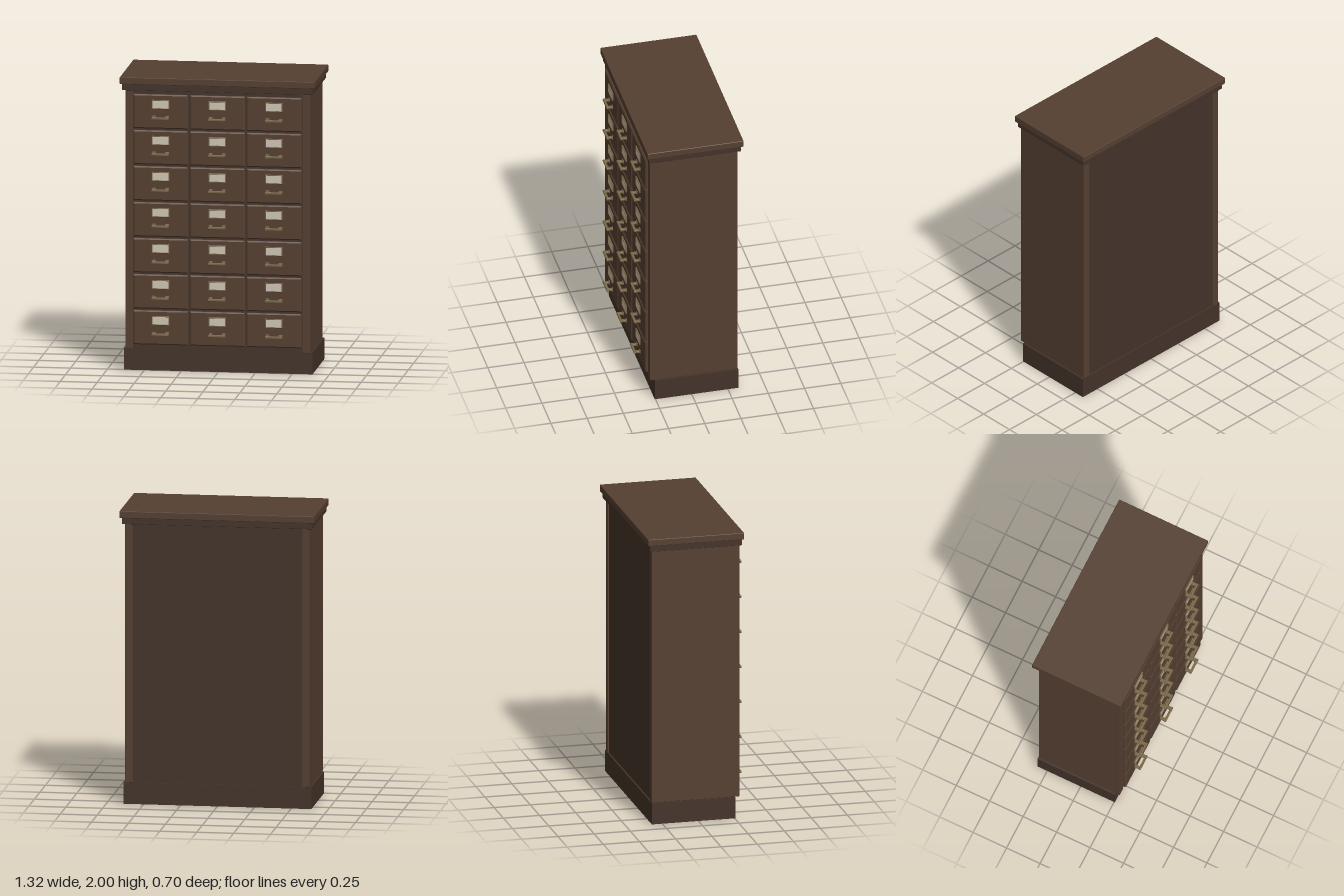
import * as THREE from 'three';
import { RoundedBoxGeometry } from 'three/addons/geometries/RoundedBoxGeometry.js';

const material = (color) => new THREE.MeshStandardMaterial({ color });
const wood = material(0x553f31);
const darkWood = material(0x443329);
const brass = material(0x7a6848);
const paper = material(0xcfc7b6);

// Box given by its minimum and maximum corners, with softened edges if r > 0
function box(name, mat, [x0, y0, z0], [x1, y1, z1], r = 0) {
  const size = [x1 - x0, y1 - y0, z1 - z0];
  const geo = r ? new RoundedBoxGeometry(...size, 1, r) : new THREE.BoxGeometry(...size);
  const mesh = new THREE.Mesh(geo, mat);
  mesh.name = name;
  mesh.position.set((x0 + x1) / 2, (y0 + y1) / 2, (z0 + z1) / 2);
  return mesh;
}

function rectangle(path, w, h) {
  path.moveTo(-w / 2, -h / 2);
  path.lineTo(w / 2, -h / 2);
  path.lineTo(w / 2, h / 2);
  path.lineTo(-w / 2, h / 2);
  path.closePath();
  return path;
}

// Bevelled drawer front, outer size w x h, back at z = 0
function drawerFrontGeometry(w, h) {
  const b = 0.008;
  const geo = new THREE.ExtrudeGeometry(rectangle(new THREE.Shape(), w - 2 * b, h - 2 * b), {
    depth: 0.014, bevelEnabled: true, bevelSize: b, bevelThickness: 0.007, bevelSegments: 1,
  });
  return geo.translate(0, 0, 0.007);
}

// Thin bevelled frame round the label
function labelFrameGeometry() {
  const shape = rectangle(new THREE.Shape(), 0.114, 0.058);
  shape.holes.push(rectangle(new THREE.Path(), 0.11, 0.054));
  return new THREE.ExtrudeGeometry(shape, {
    depth: 0.008, bevelEnabled: true, bevelSize: 0.002, bevelThickness: 0.002, bevelSegments: 1,
  });
}

function createDrawer(frontGeo, frameGeo) {
  const drawer = new THREE.Group();
  drawer.name = 'drawer';
  const front = new THREE.Mesh(frontGeo, wood);
  front.name = 'drawerFront';
  const frame = new THREE.Mesh(frameGeo, brass);
  frame.name = 'labelFrame';
  frame.position.set(0, 0.05, 0.027);
  drawer.add(front, frame);
  drawer.add(box('label', paper, [-0.056, 0.022, 0.026], [0.056, 0.078, 0.032]));

  // Bar pull on two posts
  const pull = new THREE.Group();
  pull.name = 'pull';
  pull.position.y = -0.04;
  for (const s of [-1, 1]) {
    const foot = box('pullFoot', brass, [-0.013, -0.013, 0.026], [0.013, 0.013, 0.034], 0.003);
    const post = box('pullPost', brass, [-0.011, -0.006, 0.03], [0.011, 0.006, 0.062], 0.002);
    foot.position.x = post.position.x = s * 0.044;
    pull.add(foot, post);
  }
  pull.add(box('pullBar', brass, [-0.057, -0.008, 0.057], [0.057, 0.008, 0.073], 0.004));
  drawer.add(pull);
  return drawer;
}

export function createModel() {
  const model = new THREE.Group();
  model.name = 'drawerCabinet';

  // Plinth, set back under the front
  model.add(box('plinth', darkWood, [-0.637, 0, -0.322], [0.637, 0.147, 0.255]));

  // Carcass with a recessed back and front frame, and full-depth sides
  model.add(box('carcass', darkWood, [-0.575, 0.147, -0.31], [0.575, 1.91, 0.278]));
  for (const s of [-1, 1]) {
    const side = box('sidePanel', wood, [-0.026, 0.147, -0.32], [0.026, 1.912, 0.286], 0.003);
    side.position.x = s * 0.599;
    model.add(side);
  }

  // Stepped top
  model.add(box('cornice', darkWood, [-0.645, 1.91, -0.337], [0.645, 1.956, 0.298], 0.003));
  model.add(box('top', wood, [-0.66, 1.954, -0.353], [0.66, 2, 0.311], 0.004));

  // Seven rows of three drawers
  const drawers = new THREE.Group();
  drawers.name = 'drawers';
  const frontGeo = drawerFrontGeometry(0.371, 0.232);
  const frameGeo = labelFrameGeometry();
  for (let row = 0; row < 7; row++) {
    for (let col = -1; col <= 1; col++) {
      const drawer = createDrawer(frontGeo, frameGeo);
      drawer.position.set(col * 0.3835, 0.299 + row * 0.2453, 0.276);
      drawers.add(drawer);
    }
  }
  model.add(drawers);
  return model;
}
